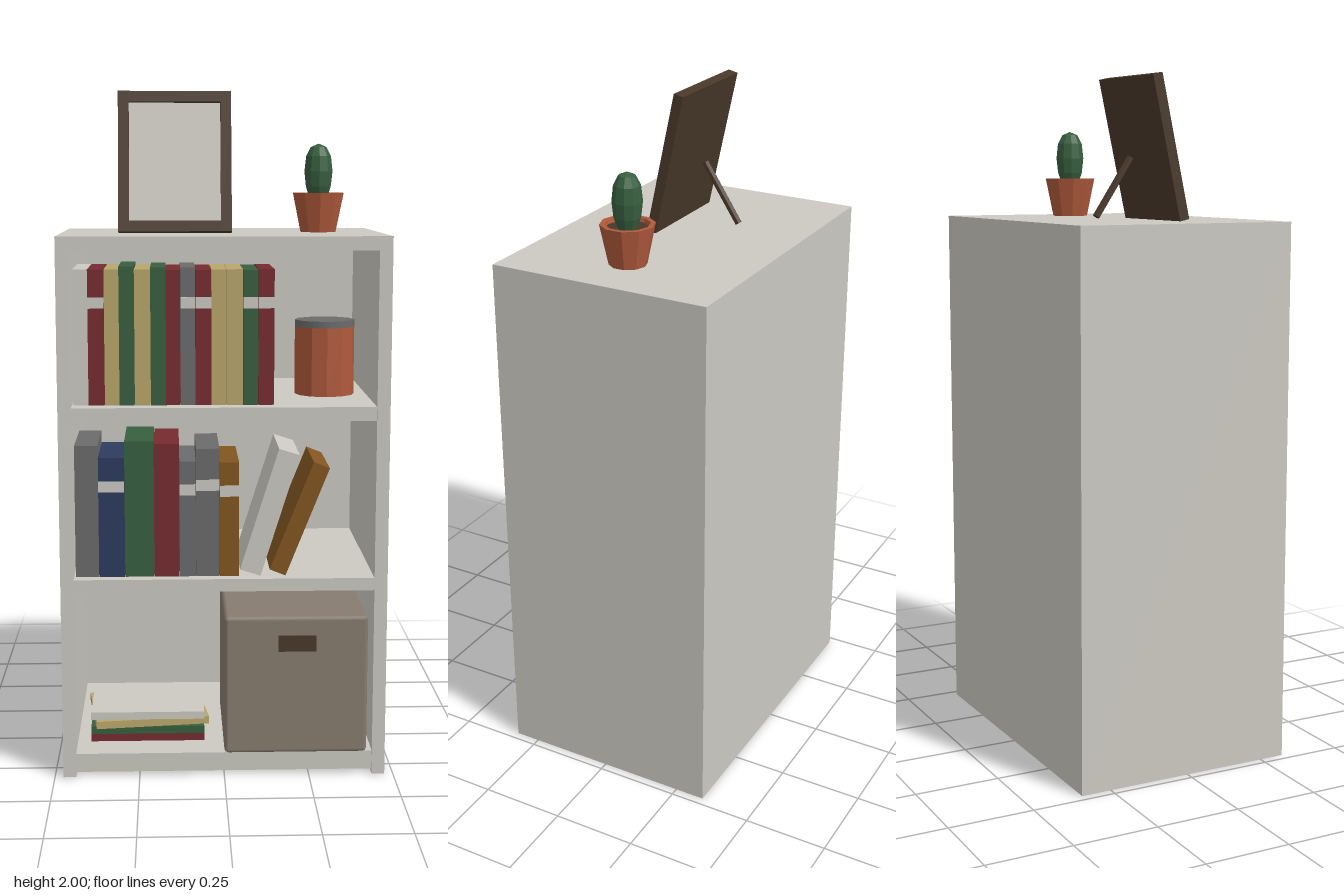
import * as THREE from 'three';
import { RoundedBoxGeometry } from 'three/addons/geometries/RoundedBoxGeometry.js';

const mat = (name, color, opts = {}) => {
  const m = new THREE.MeshStandardMaterial({ color, ...opts });
  m.name = name;
  return m;
};

export function createModel() {
  const M = {
    white: mat('offWhite', 0xcbc9c1),
    red: mat('red', 0x762b30),
    yellow: mat('straw', 0xb8a66a),
    green: mat('green', 0x375f3f, { flatShading: true }),
    blue: mat('navy', 0x2d3b5f),
    gray: mat('gray', 0x6b6b6b),
    brown: mat('brown', 0x82551f),
    dark: mat('darkWood', 0x49382a, { flatShading: true }),
    clay: mat('terracotta', 0xb05a3c, { flatShading: true, side: THREE.DoubleSide }),
    bin: mat('taupe', 0x877b6f),
  };
  const model = new THREE.Group();
  model.name = 'bookcase';

  const add = (parent, name, geometry, material, x = 0, y = 0, z = 0) => {
    const mesh = new THREE.Mesh(geometry, material);
    mesh.name = name;
    mesh.position.set(x, y, z);
    parent.add(mesh);
    return mesh;
  };
  // Box given by its minimum and maximum corners
  const box = (parent, name, material, [x0, y0, z0], [x1, y1, z1]) =>
    add(parent, name, new THREE.BoxGeometry(x1 - x0, y1 - y0, z1 - z0), material,
      (x0 + x1) / 2, (y0 + y1) / 2, (z0 + z1) / 2);
  const group = (name) => {
    const g = new THREE.Group();
    g.name = name;
    model.add(g);
    return g;
  };

  // Cabinet
  const cabinet = group('cabinet');
  const back = -0.34, front = 0.325, inner = 0.437;
  box(cabinet, 'rightSide', M.white, [-0.475, 0, back], [-inner, 1.585, front]);
  box(cabinet, 'leftSide', M.white, [inner, 0, back], [0.475, 1.585, front]);
  box(cabinet, 'topBoard', M.white, [-inner, 1.545, back], [inner, 1.585, front]);
  box(cabinet, 'backPanel', M.white, [-inner, 0, back], [inner, 1.545, back + 0.02]);
  for (const [y0, y1] of [[0.035, 0.07], [0.56, 0.597], [1.06, 1.1]])
    box(cabinet, 'shelf', M.white, [-inner, y0, back + 0.02], [inner, y1, front - 0.004]);
  box(cabinet, 'toeBoard', M.white, [-inner, 0.01, front - 0.035], [inner, 0.035, front - 0.015]);

  // Upright books: [right edge x, top y, colour, label centre y]
  const bookRow = (name, start, base, zFront, depth, books) => {
    const row = group(name);
    let x = start;
    for (const [end, top, color, label] of books) {
      box(row, 'book', M[color], [x, base, zFront - depth], [end - 0.001, top, zFront]);
      if (label)
        box(row, 'spineLabel', M.white, [x, label - 0.016, zFront], [end - 0.001, label + 0.016, zFront + 0.003]);
      x = end;
    }
    return row;
  };
  bookRow('upperBooks', -0.432, 1.1, 0.268, 0.265, [
    [-0.389, 1.49, 'white'], [-0.342, 1.49, 'red', 1.395], [-0.3, 1.49, 'yellow'],
    [-0.256, 1.498, 'green'], [-0.21, 1.49, 'yellow'], [-0.166, 1.495, 'green'],
    [-0.124, 1.488, 'red'], [-0.081, 1.495, 'gray', 1.395], [-0.035, 1.488, 'red', 1.395],
    [0.009, 1.49, 'yellow'], [0.056, 1.49, 'yellow'], [0.1, 1.488, 'green', 1.395],
    [0.146, 1.49, 'red', 1.395],
  ]);
  const middle = bookRow('middleBooks', -0.432, 0.597, 0.285, 0.27, [
    [-0.364, 0.985, 'gray'], [-0.288, 0.95, 'blue', 0.865], [-0.203, 0.997, 'green'],
    [-0.129, 0.99, 'red'], [-0.081, 0.938, 'gray', 0.855], [-0.012, 0.975, 'gray', 0.868],
    [0.045, 0.935, 'brown', 0.85],
  ]);

  // Leaning books, pivoted on their lower right corner
  for (const [x, width, height, angle, color] of [
    [0.107, 0.063, 0.375, 0.305, 'white'], [0.18, 0.05, 0.343, 0.38, 'brown']]) {
    const geometry = new THREE.BoxGeometry(width, height, 0.26).translate(-width / 2, height / 2, 0);
    add(middle, 'leaningBook', geometry, M[color], x, 0.597, 0.155).rotation.z = -angle;
  }

  // Flat stack of books
  const stack = group('bookStack');
  [['red', 0.34, 0], ['green', 0.34, 0], ['yellow', 0.34, 0.12], ['white', 0.34, 0]].forEach(
    ([color, width, turn], i) => {
      add(stack, 'flatBook', new THREE.BoxGeometry(width, 0.0225, 0.27), M[color],
        -0.227, 0.0815 + i * 0.0225, 0.085).rotation.y = turn;
    });

  // Storage bin with a dark grip
  const bin = group('storageBin');
  add(bin, 'binBody', new RoundedBoxGeometry(0.42, 0.415, 0.42, 1, 0.012), M.bin, 0.21, 0.278, 0.125);
  box(bin, 'grip', M.dark, [0.157, 0.382, 0.333], [0.268, 0.43, 0.338]);

  // Lidded jar
  const jar = group('jar');
  add(jar, 'jarBody', new THREE.CylinderGeometry(0.09, 0.09, 0.205, 12), M.clay, 0.3125, 1.2025, 0.03);
  add(jar, 'jarLid', new THREE.CylinderGeometry(0.09, 0.09, 0.02, 12), M.gray, 0.3125, 1.315, 0.03);

  // Picture frame leaning back on a strut
  const W = 0.335, H = 0.419, T = 0.03, B = 0.032;
  const frame = group('pictureFrame');
  frame.position.set(-0.1375, 1.591, 0.09);
  frame.rotation.x = -0.216;
  box(frame, 'frameBack', M.dark, [-W / 2, 0, -T], [W / 2, H, -T + 0.012]);
  for (const s of [-1, 1])
    add(frame, 'frameStile', new THREE.BoxGeometry(B, H, T - 0.012), M.dark,
      s * (W - B) / 2, H / 2, -(T - 0.012) / 2);
  for (const y of [B / 2, H - B / 2])
    add(frame, 'frameRail', new THREE.BoxGeometry(W - 2 * B, B, T - 0.012), M.dark, 0, y, -(T - 0.012) / 2);
  box(frame, 'picture', M.white, [-W / 2 + B, B, -T + 0.012], [W / 2 - B, H - B, -T + 0.016]);

  const strutTop = new THREE.Vector3(-0.1375, 1.765, 0.02);
  const strutFoot = new THREE.Vector3(-0.1375, 1.596, -0.124);
  strutTop.z = -0.012;
  const along = strutTop.clone().sub(strutFoot);
  const strut = add(model, 'frameStrut', new THREE.CylinderGeometry(0.011, 0.011, along.length(), 6), M.dark);
  strut.position.addVectors(strutTop, strutFoot).multiplyScalar(0.5);
  strut.quaternion.setFromUnitVectors(new THREE.Vector3(0, 1, 0), along.normalize());

  // Potted cactus
  const plant = group('pottedCactus');
  plant.position.set(0.292, 1.585, 0);
  const potProfile = [[0, 0.001], [0.054, 0.001], [0.078, 0.117], [0.064, 0.117], [0.06, 0.1]]
    .map(([r, y]) => new THREE.Vector2(r, y));
  add(plant, 'pot', new THREE.LatheGeometry(potProfile, 10), M.clay);
  add(plant, 'soil', new THREE.CylinderGeometry(0.062, 0.06, 0.01, 10), M.dark, 0, 0.1, 0);
  const cactusProfile = [[0.026, 0.1], [0.038, 0.135], [0.043, 0.18], [0.038, 0.225], [0.024, 0.252], [0, 0.262]]
    .map(([r, y]) => new THREE.Vector2(r, y));
  add(plant, 'cactus', new THREE.LatheGeometry(cactusProfile, 10), M.green);

  return model;
}
